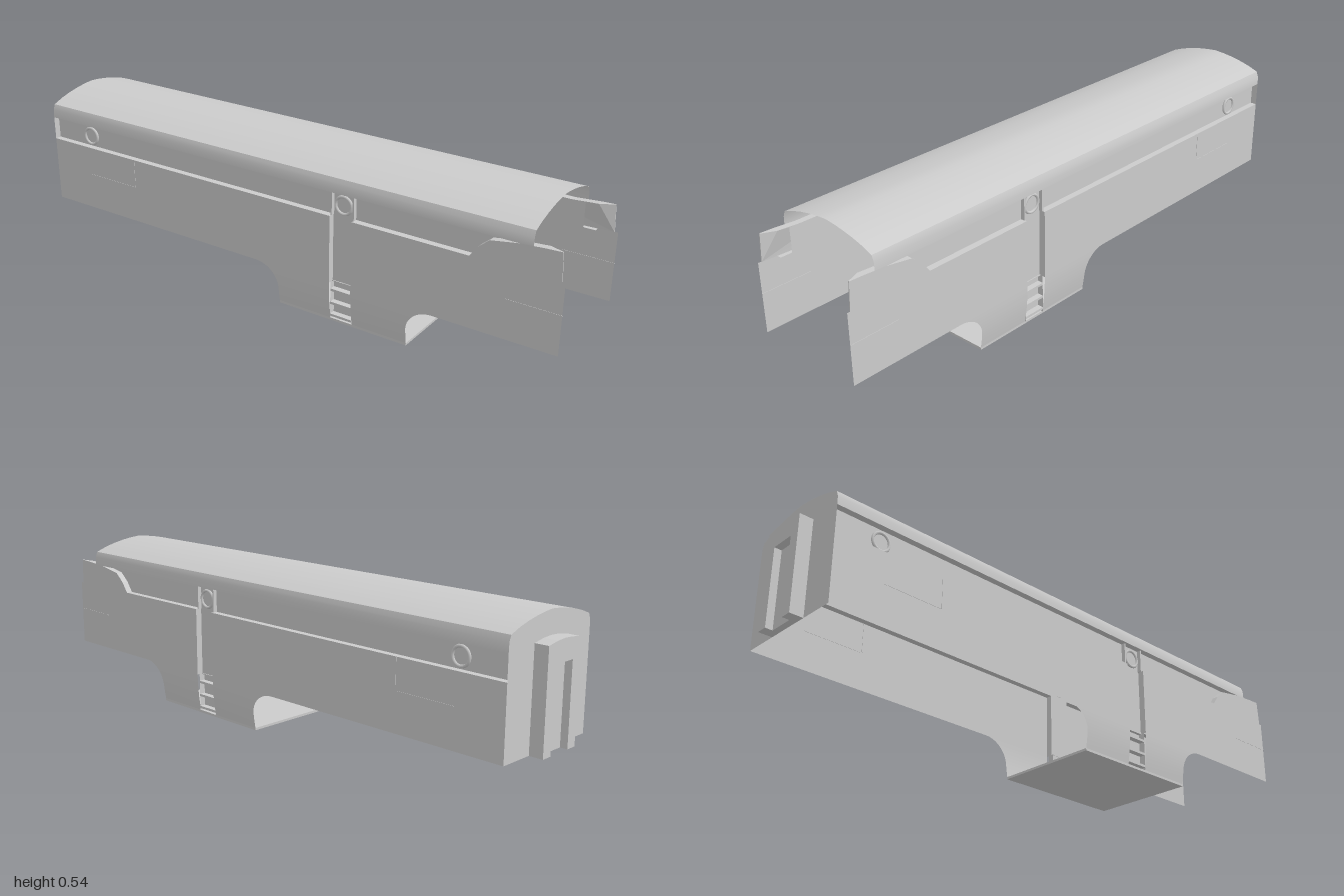
import * as THREE from 'three';
import { toCreasedNormals } from 'three/addons/utils/BufferGeometryUtils.js';

const material = new THREE.MeshStandardMaterial({ color: 0xcccccc, side: THREE.DoubleSide });

function add(parent, name, geometry, x = 0, y = 0, z = 0) {
  const mesh = new THREE.Mesh(geometry, material);
  mesh.name = name;
  mesh.position.set(x, y, z);
  parent.add(mesh);
  return mesh;
}

// Skin through rows of [x, y, z] points
function loft(rows) {
  const n = rows[0].length, index = [];
  for (let r = 0; r < rows.length - 1; r++) {
    for (let i = 0; i < n - 1; i++) {
      const a = r * n + i, b = a + n;
      index.push(a, a + 1, b, a + 1, b + 1, b);
    }
  }
  const geo = new THREE.BufferGeometry();
  geo.setAttribute('position', new THREE.Float32BufferAttribute(rows.flat(2), 3));
  geo.setIndex(index);
  return toCreasedNormals(geo, 0.5);
}

// Open (x, y) profile drawn out along z, from back to front
const alongZ = (profile, z0, z1) =>
  loft([z1, z0].map((z) => profile.map(([x, y]) => [x, y, z])));

// Open (x, z) profile drawn out along y
const alongY = (profile, y0, y1) =>
  loft([y0, y1].map((y) => profile.map(([x, z]) => [x, y, z])));

const polygon = (points) => new THREE.Shape(points.map(([x, y]) => new THREE.Vector2(x, y)));

const W = 0.195, IN = 0.173, SILL = 0.14, BELT = 0.37, EAVE = 0.45;
const BACK = -0.955, GAP0 = 0.235, GAP1 = 0.315, TANK = 0.01;

// Half roof from eave to ridge
const roofHalf = [[W, EAVE], [0.194, 0.478], [0.187, 0.497], [0.15, 0.511], [0.11, 0.522], [0.07, 0.53], [0.035, 0.535], [0, 0.538]];
const roofProfile = [...roofHalf, ...roofHalf.slice(0, -1).reverse().map(([x, y]) => [-x, y])];

// Tank skirt: curves inwards at the bottom, flares into the sill at both ends
function skirt(pick) {
  const rows = [];
  for (let i = 0; i <= 12; i++) {
    const a = (i / 12) * Math.PI / 2;
    const y = 0.06 + 0.08 * Math.cos(a), flare = 0.088 * (1 - Math.sin(a));
    rows.push([y, flare]);
  }
  rows.push([0.035, 0], [TANK, 0]);
  return loft(rows.map(([y, flare]) => {
    const x = W - 0.012 * ((SILL - y) / 0.13) ** 2;
    return pick(flare).map((z) => [x, y, z]);
  }));
}

function porthole(parent, z) {
  const ring = add(parent, 'portholeRing', new THREE.TorusGeometry(0.029, 0.005, 6, 20), IN + 0.004, 0.408, z);
  ring.rotation.y = Math.PI / 2;
  const pane = add(parent, 'portholePane', new THREE.CircleGeometry(0.028, 20), IN + 0.003, 0.408, z);
  pane.rotation.y = Math.PI / 2;
}

// One side of the body, built for +x
function buildSide(name) {
  const side = new THREE.Group();
  side.name = name;

  // Lower wall either side of the ladder channel
  add(side, 'frontWall', alongZ([[W, SILL], [W, BELT]], GAP1, 1));
  add(side, 'rearWall', alongZ([[W, SILL], [W, BELT]], BACK, GAP0));

  // Recessed band under the eave, with its ledges
  add(side, 'recessedBand', alongZ([[IN, BELT], [IN, EAVE], [W, EAVE]], BACK, 0.9));
  add(side, 'frontLedge', alongZ([[W, BELT], [IN, BELT]], GAP1, 0.94));
  add(side, 'rearLedge', alongZ([[W, BELT], [IN, BELT]], BACK, GAP0));

  // Raised cheek closing the band at the front, tapering to its tip
  const cheek = new THREE.ExtrudeGeometry(
    polygon([[0.99, BELT], [0.985, 0.458], [0.94, 0.456], [0.86, 0.45], [0.77, 0.435], [0.735, 0.405], [0.71, BELT]]),
    { depth: W - IN, bevelEnabled: false });
  cheek.rotateY(-Math.PI / 2);
  cheek.translate(W, 0, 0);
  const p = cheek.attributes.position;
  for (let i = 0; i < p.count; i++) if (p.getZ(i) > 0.95) p.setX(i, Math.max(p.getX(i), W - 0.003));
  cheek.computeVertexNormals();
  add(side, 'frontCheek', cheek);

  // Ladder channel and steps
  const channel = (d) => [[W, GAP1], [d, GAP1], [d, GAP0], [W, GAP0]];
  add(side, 'ladderChannel', alongY(channel(IN), SILL, BELT));
  const low = channel(0.165);
  low[0][0] = low[3][0] = 0.186;
  add(side, 'stepRecess', alongY(low, TANK, SILL));
  add(side, 'recessTop', new THREE.BoxGeometry(0.012, 0.003, GAP1 - GAP0), 0.17, SILL, 0.275);
  for (const y of [0.022, 0.065, 0.112]) {
    add(side, 'step', new THREE.BoxGeometry(0.02, 0.008, GAP1 - GAP0), 0.176, y, 0.275);
  }
  for (const z of [GAP0, GAP1]) {
    add(side, 'channelPost', new THREE.BoxGeometry(0.014, EAVE - BELT, 0.005), IN + 0.007, 0.41, z);
  }

  // Tank skirt
  add(side, 'frontSkirt', skirt((f) => [GAP1, 0.512 + f]));
  add(side, 'rearSkirt', skirt((f) => [0.035 - f, GAP0]));

  porthole(side, 0.275);
  porthole(side, -0.79);

  // Thin panel seams
  for (const [z0, z1] of [[0.83, 1], [-0.785, -0.58]]) {
    add(side, 'panelSeam', new THREE.BoxGeometry(0.002, 0.003, z1 - z0), W, 0.268, (z0 + z1) / 2);
  }
  add(side, 'panelSeam', new THREE.BoxGeometry(0.002, 0.1, 0.003), W, 0.318, -0.575);
  return side;
}

export function createModel() {
  const model = new THREE.Group();
  model.name = 'railCarBody';

  // Mirrored sides
  model.add(buildSide('leftSide'));
  const right = buildSide('rightSide');
  right.scale.x = -1;
  model.add(right);

  // Roof
  add(model, 'roof', alongZ(roofProfile, BACK, 0.9));

  // Tank floor
  add(model, 'tankFloor', new THREE.BoxGeometry(0.366, 0.008, 0.477), 0, 0.006, 0.2735);

  // Rear end wall
  const end = polygon([[W, SILL], ...roofProfile, [-W, SILL]]);
  add(model, 'endWall', new THREE.ShapeGeometry(end), 0, 0, BACK);

  // Gangway frame with a recessed door
  const frame = polygon([[-0.078, SILL], [-0.078, 0.456], [-0.035, 0.463], [0, 0.465], [0.035, 0.463], [0.078, 0.456],
    [0.078, SILL], [0.042, SILL], [0.042, 0.398], [-0.042, 0.398], [-0.042, SILL]]);
  add(model, 'gangwayFrame', new THREE.ExtrudeGeometry(frame, { depth: 1 + BACK, bevelEnabled: false }), 0, 0, -1);
  add(model, 'gangwayDoor', new THREE.BoxGeometry(0.084, 0.258, 0.02), 0, 0.269, -0.966);

  return model;
}
